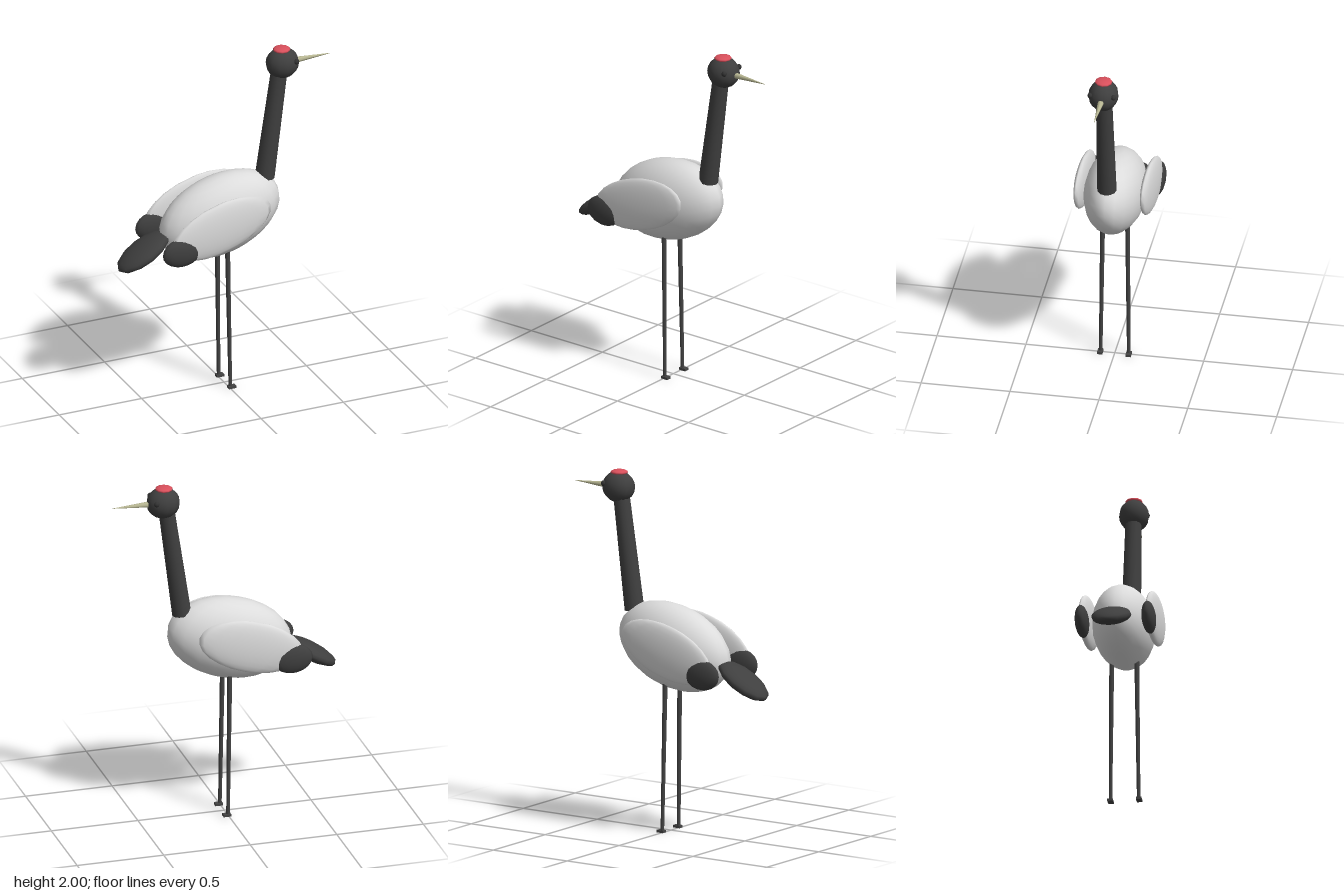
import * as THREE from 'three';

const colour = (name, hex) => {
  const m = new THREE.MeshStandardMaterial({ color: hex });
  m.name = name;
  return m;
};

export function createModel() {
  const plumage = colour('pale plumage', 0xdcdcdc);
  const dark = colour('dark plumage', 0x3f3f3f);
  const red = colour('red crown', 0xd9505c);
  const horn = colour('beak horn', 0xb9b894);
  const legGrey = colour('leg grey', 0x444444);
  const eyeGrey = colour('eye grey', 0x333333);

  const crane = new THREE.Group();
  crane.name = 'crane';

  const add = (name, geometry, material) => {
    const mesh = new THREE.Mesh(geometry, material);
    mesh.name = name;
    crane.add(mesh);
    return mesh;
  };

  // Ellipsoid with given centre, half sizes and tilt about z
  const ellipsoid = (name, material, centre, half, tilt = 0, w = 16, h = 12) => {
    const mesh = add(name, new THREE.SphereGeometry(1, w, h), material);
    mesh.position.set(...centre);
    mesh.scale.set(...half);
    mesh.rotation.z = tilt;
    return mesh;
  };

  // Tapered rod between two points
  const rod = (name, material, from, to, r0, r1, sides) => {
    const a = new THREE.Vector3(...from), b = new THREE.Vector3(...to);
    const dir = b.clone().sub(a);
    const mesh = add(name, new THREE.CylinderGeometry(r1, r0, dir.length(), sides), material);
    mesh.position.copy(a).add(b).multiplyScalar(0.5);
    mesh.quaternion.setFromUnitVectors(new THREE.Vector3(0, 1, 0), dir.normalize());
    return mesh;
  };

  // Body and drooping tail
  ellipsoid('body', plumage, [-0.028, 1.045, 0], [0.367, 0.234, 0.17], 0.267, 20, 14);
  ellipsoid('tail', dark, [-0.49, 0.905, 0], [0.175, 0.048, 0.112], 0.54, 12, 10);

  // Neck and head
  rod('neck', dark, [0.247, 1.22, 0], [0.333, 1.84, 0], 0.055, 0.046, 12);
  ellipsoid('head', dark, [0.354, 1.902, 0], [0.095, 0.089, 0.084], 0, 12, 10);
  ellipsoid('crown', red, [0.35, 1.985, 0], [0.049, 0.015, 0.049], 0, 10, 8);
  rod('beak', horn, [0.42, 1.902, 0], [0.645, 1.902, 0], 0.019, 0.001, 8);

  for (const s of [1, -1]) {
    const side = s > 0 ? 'Front' : 'Back';

    // Folded wing with dark tip
    ellipsoid('wing' + side, plumage, [-0.1, 1.052, s * 0.187], [0.312, 0.15, 0.035], 0.295);
    ellipsoid('wingTip' + side, dark, [-0.338, 0.952, s * 0.187], [0.117, 0.086, 0.038], 0, 14, 10);

    // Eye
    ellipsoid('eye' + side, eyeGrey, [0.41, 1.925, s * 0.066], [0.016, 0.016, 0.014], 0, 8, 6);

    // Leg and small foot
    rod('leg' + side, legGrey, [-0.01, 0.86, s * 0.07], [0.003, 0.005, s * 0.079], 0.014, 0.01, 8);
    const foot = add('foot' + side, new THREE.BoxGeometry(0.044, 0.014, 0.03), legGrey);
    foot.position.set(0.01, 0.007, s * 0.08);
  }
  return crane;
}
